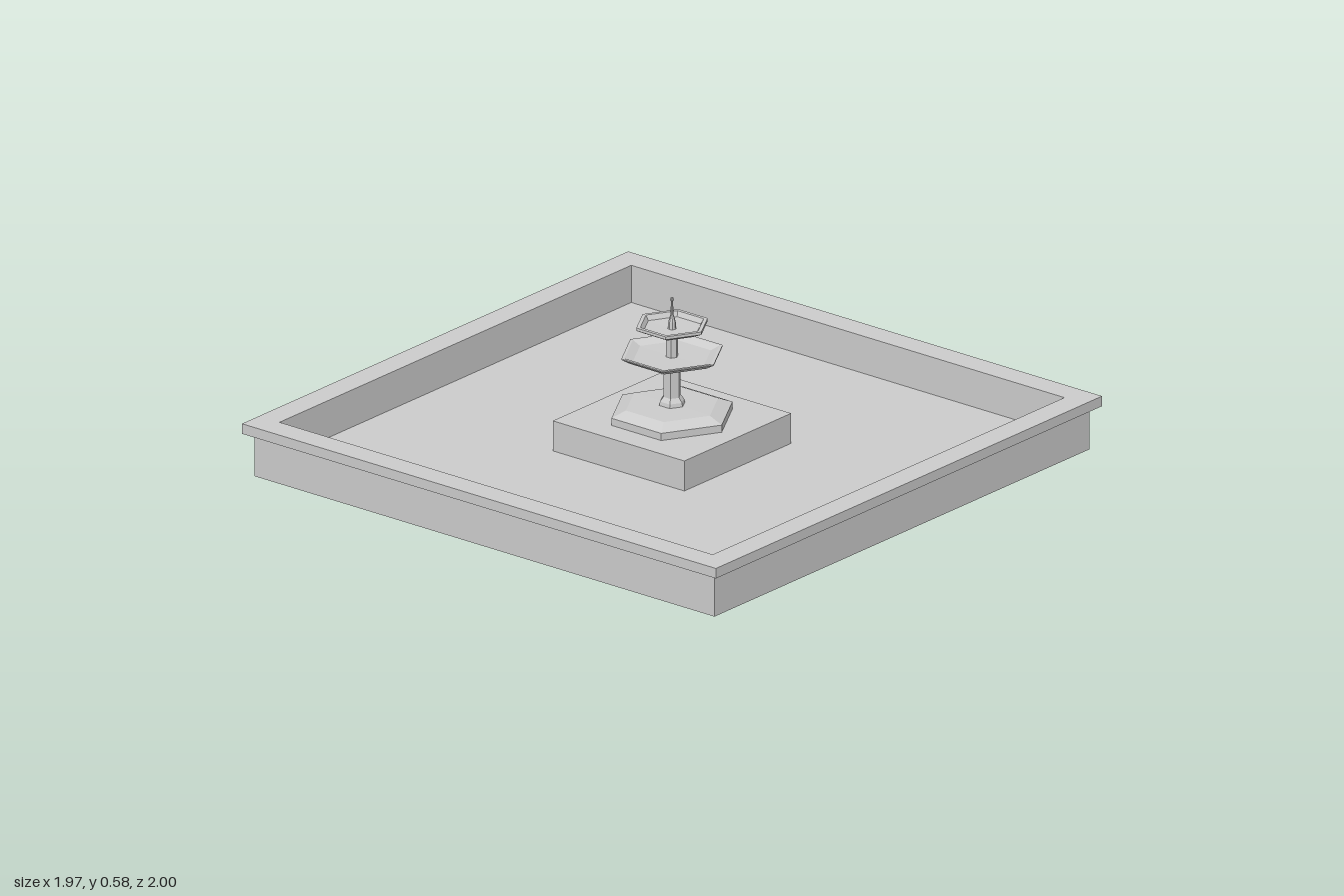
import * as THREE from 'three';

const grey = new THREE.MeshStandardMaterial({ color: 0xcccccc, flatShading: true, side: THREE.DoubleSide });

function add(group, name, geometry, y = 0) {
  const mesh = new THREE.Mesh(geometry, grey);
  mesh.name = name;
  mesh.position.y = y;
  group.add(mesh);
  return mesh;
}

// Half sizes in, closed rectangle out
function rectangle(PathType, hx, hz) {
  return new PathType([[-hx, -hz], [hx, -hz], [hx, hz], [-hx, hz]].map(([x, z]) => new THREE.Vector2(x, z)));
}

// Upright rectangular frame around the basin opening
function frame(hx, hz, height) {
  const shape = rectangle(THREE.Shape, hx, hz);
  shape.holes.push(rectangle(THREE.Path, 0.897, 0.914));
  return new THREE.ExtrudeGeometry(shape, { depth: height, bevelEnabled: false }).rotateX(-Math.PI / 2);
}

// Six-sided turned part, corners on the z axis; profile is [radius, height]
function turned(profile, sides = 6) {
  return new THREE.LatheGeometry(profile.map(([r, y]) => new THREE.Vector2(r, y)), sides);
}

export function createModel() {
  const fountain = new THREE.Group();
  fountain.name = 'fountain';

  // Square basin
  add(fountain, 'basinWall', frame(0.956, 0.97, 0.15));
  add(fountain, 'basinRim', frame(0.985, 1, 0.035), 0.15);
  add(fountain, 'basinFloor', new THREE.BoxGeometry(1.794, 0.055, 1.828), 0.0275);
  add(fountain, 'pedestal', new THREE.BoxGeometry(0.545, 0.105, 0.555), 0.1075);

  // Hexagonal foot flaring into the main column
  add(fountain, 'foot', turned([[0.21, 0.16], [0.21, 0.185], [0.16, 0.205], [0.045, 0.207]]));
  add(fountain, 'lowerColumn', turned([[0.045, 0.205], [0.042, 0.22], [0.03, 0.235], [0.03, 0.372]]));

  // Two shallow bowls
  add(fountain, 'lowerBowl', turned([
    [0, 0.366], [0.145, 0.366], [0.176, 0.384], [0.176, 0.388], [0.165, 0.388], [0.135, 0.375], [0, 0.373],
  ]));
  add(fountain, 'upperColumn', turned([[0.02, 0.37], [0.02, 0.47]]));
  add(fountain, 'upperBowl', turned([
    [0, 0.463], [0.09, 0.463], [0.124, 0.479], [0.124, 0.489], [0.11, 0.489], [0.1, 0.472], [0, 0.47],
  ]));

  // Spout
  add(fountain, 'spout', turned([
    [0.014, 0.47], [0.012, 0.495], [0.005, 0.52], [0.0035, 0.565], [0.006, 0.57], [0.004, 0.578], [0, 0.578],
  ], 8));

  return fountain;
}
